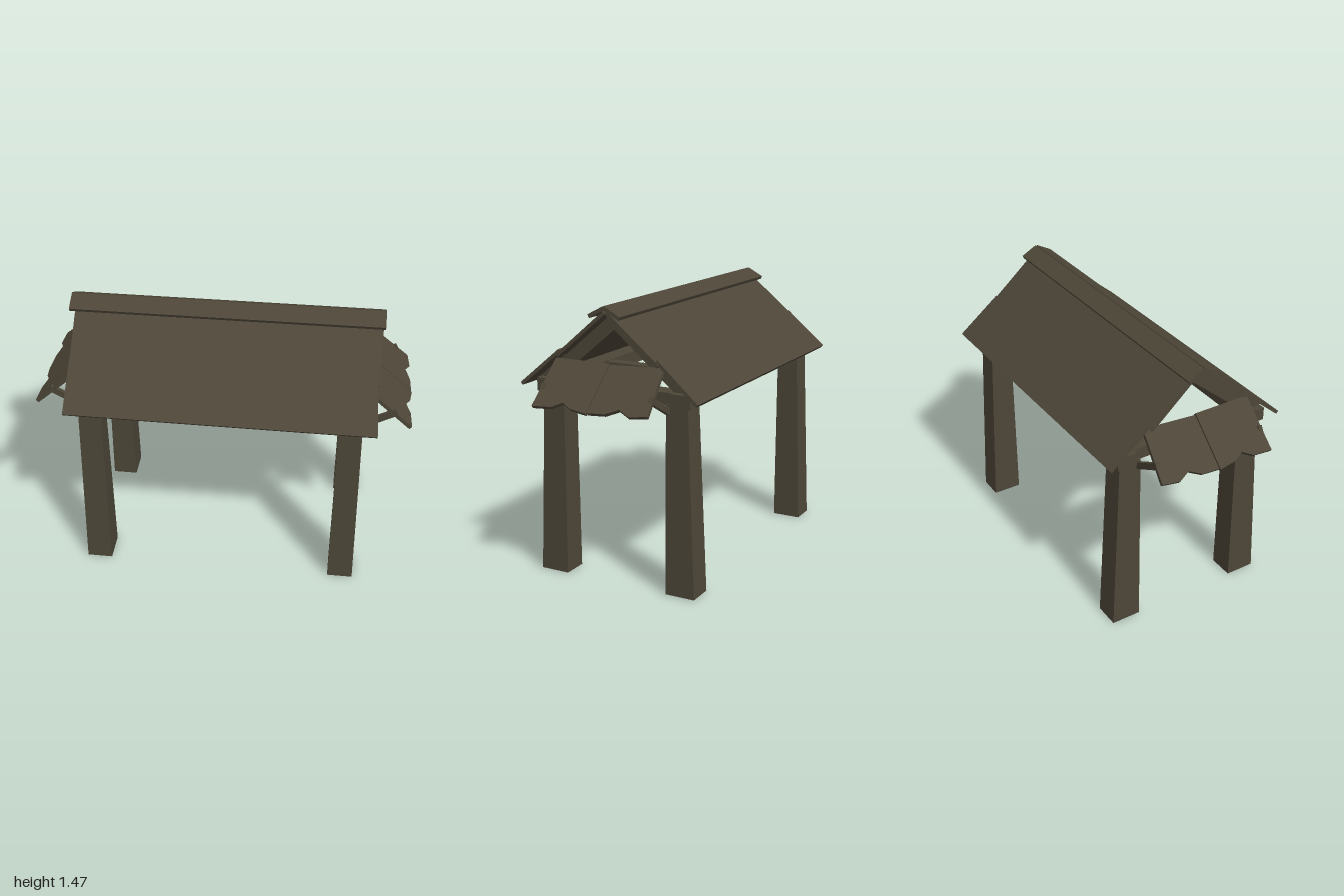
import * as THREE from 'three';

const wood = new THREE.MeshStandardMaterial({ color: 0x4d4638 });
wood.name = 'dark weathered wood';

export function createModel() {
  const model = new THREE.Group();
  model.name = 'marketShelter';

  const add = (name, geometry) => {
    const mesh = new THREE.Mesh(geometry, wood);
    mesh.name = name;
    model.add(mesh);
    return mesh;
  };

  // Unit box whose corners (each coordinate -0.5..0.5) are moved by a rule
  const shaped = (name, rule) => {
    const g = new THREE.BoxGeometry(1, 1, 1).toNonIndexed();
    const p = g.attributes.position;
    for (let i = 0; i < p.count; i++) p.setXYZ(i, ...rule(p.getX(i), p.getY(i), p.getZ(i)));
    g.computeVertexNormals();
    return add(name, g);
  };

  const beam = (name, x0, x1, y0, y1, z0, z1) =>
    add(name, new THREE.BoxGeometry(x1 - x0, y1 - y0, z1 - z0)
      .translate((x0 + x1) / 2, (y0 + y1) / 2, (z0 + z1) / 2));

  // Sloping board along x, from a=[z,y] to b=[z,y], with its own x extents at each edge
  const board = (name, a, b, t, xa, xb) => {
    const dz = b[0] - a[0], dy = b[1] - a[1], l = Math.hypot(dz, dy);
    return shaped(name, (x, u, v) => {
      const k = u + 0.5, e = k ? xb : xa;
      return [x < 0 ? e[0] : e[1], a[1] + dy * k - (dz / l) * t * v, a[0] + dz * k + (dy / l) * t * v];
    });
  };

  // Tapered posts
  for (const sx of [-1, 1]) for (const sz of [-1, 1]) {
    shaped('post', (x, y, z) => {
      const top = y > 0;
      const outer = top ? 0.42 : 0.46;
      const zz = z * sz > 0 ? outer : 0.298;
      return [sx * 0.685 + x * (top ? 0.12 : 0.138), top ? 1.0 : 0, sz * zz];
    });
  }

  // Long wall plates and cross ties
  for (const s of [-1, 1]) {
    const z = [s * 0.335, s * 0.445].sort((a, b) => a - b);
    beam('wallPlate', -0.77, 0.77, 0.99, 1.06, ...z);
  }
  for (const x of [-0.685, -0.23, 0.23, 0.685]) {
    const w = Math.abs(x) > 0.5 ? 0.05 : 0.035;
    beam('crossTie', x - w, x + w, 0.992, 1.055, -0.44, 0.44);
  }

  // End rafters: an inverted V
  for (const x of [-0.685, 0.685]) {
    const v = [[0, 1.435], [0.45, 1.06], [0.335, 1.06], [0, 1.34], [-0.335, 1.06], [-0.45, 1.06]];
    const shape = new THREE.Shape(v.map(([z, y]) => new THREE.Vector2(z, y)));
    const g = new THREE.ExtrudeGeometry(shape, { depth: 0.09, bevelEnabled: false });
    add('rafters', g.translate(0, 0, -0.045).rotateY(-Math.PI / 2).translate(x, 0, 0));
  }

  // Roof boards and ridge cap on both slopes
  for (const s of [-1, 1]) {
    const at = (z, y) => [s * z, y];
    board('lowerRoofBoard', at(0.507, 1.03), at(0.279, 1.222), 0.018,
      [-0.805, 0.82], [-0.805, 0.806]);
    board('upperRoofBoard', at(0.29, 1.197), at(0.005, 1.437), 0.018,
      [s > 0 ? -0.805 : -0.822, 0.812], [-0.81, 0.818]);
    board('ridgeCap', at(0.087, 1.412), at(0, 1.458), 0.02,
      [-0.83, 0.833], [-0.83, 0.833]).rotation.z = 0.004;
  }

  // Ragged end awnings with struts; outlines are [z, distance down the slope]
  const ragged = [
    [[0.32, 0.005], [0.003, 0.005], [0.003, 0.31], [0.1, 0.295], [0.155, 0.265], [0.21, 0.3], [0.32, 0.308]],
    [[-0.003, 0.012], [-0.3, -0.008], [-0.327, 0.28], [-0.23, 0.295], [-0.165, 0.262], [-0.1, 0.298], [-0.003, 0.305]],
  ];
  for (const s of [-1, 1]) {
    const along = new THREE.Vector3(0, 0, -s);
    const down = new THREE.Vector3(s * 0.746, -0.666, 0).normalize();
    const inward = along.clone().cross(down);
    const frame = new THREE.Matrix4().makeBasis(along, down, inward).setPosition(s * 0.77, 1.18, 0);
    for (const outline of ragged) {
      const shape = new THREE.Shape(outline.map(([z, d]) => new THREE.Vector2(-s * z, d)));
      const g = new THREE.ExtrudeGeometry(shape, { depth: 0.02, bevelEnabled: false });
      add('awningBoard', g.applyMatrix4(frame));
    }
    for (const z of [-0.31, 0.31]) {
      const g = new THREE.BoxGeometry(0.24, 0.034, 0.022);
      g.rotateZ(s * 0.5).translate(s * 0.81, 1.0, z);
      add('awningStrut', g);
    }
  }

  return model;
}
